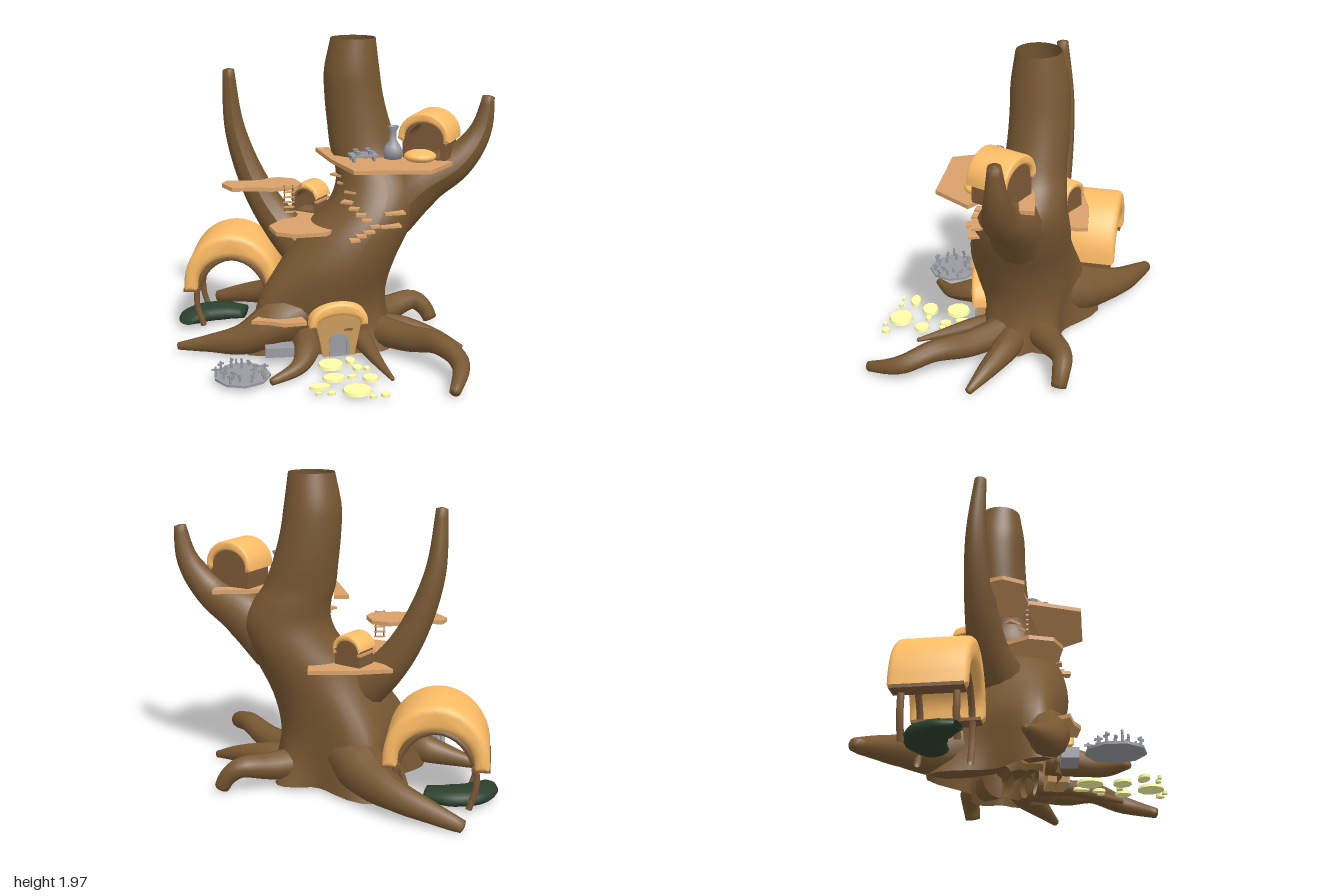
import * as THREE from 'three';
import { toCreasedNormals } from 'three/addons/utils/BufferGeometryUtils.js';

const V = (x, y, z) => new THREE.Vector3(x, y, z);
const mat = (color) => new THREE.MeshStandardMaterial({ color, side: THREE.DoubleSide });
const bark = mat(0x785832), thatch = mat(0xffbe66), plank = mat(0xd9a169), wood = mat(0x7d5a38),
  tan = mat(0xc99a5c), stone = mat(0x9a9ca2), slab = mat(0xffffa8), leaf = mat(0x2b402d);

function add(parent, name, geo, material, x = 0, y = 0, z = 0, ry = 0) {
  const m = new THREE.Mesh(geo, material);
  m.name = name;
  m.position.set(x, y, z);
  m.rotation.y = ry;
  parent.add(m);
  return m;
}

// Tapered limb through points [x, y, z, radius], closed at its tip
function limb(pts, sides = 12, seg = 24) {
  const curve = new THREE.CatmullRomCurve3(pts.map((p) => V(p[0], p[1], p[2])));
  const geo = new THREE.TubeGeometry(curve, seg, 1, sides);
  const pos = geo.attributes.position, v = V(0, 0, 0);
  for (let i = 0; i <= seg; i++) {
    const k = curve.getUtoTmapping(i / seg) * (pts.length - 1);
    const a = Math.min(Math.floor(k), pts.length - 2);
    const r = i === seg ? 0 : THREE.MathUtils.lerp(pts[a][3], pts[a + 1][3], k - a);
    const c = curve.getPointAt(i / seg);
    const to = i === seg ? curve.getPointAt(1 - 0.8 / seg) : c;
    for (let j = 0; j <= sides; j++) {
      const n = i * (sides + 1) + j;
      v.fromBufferAttribute(pos, n).sub(c).multiplyScalar(r).add(to);
      pos.setXYZ(n, v.x, Math.max(v.y, 0.02), v.z);
    }
  }
  geo.computeVertexNormals();
  return geo;
}

// Hollow trunk from horizontal ellipses [y, cx, cz, rx, rz], swelling towards
// each root by a flare [x, z, reach, height, angular width]
function trunkGeometry(rows, flares, sides = 48, seg = 44) {
  const mid = new THREE.CatmullRomCurve3(rows.map((r) => V(r[1], r[0], r[2])));
  const rad = new THREE.CatmullRomCurve3(rows.map((r) => V(r[3], 0, r[4])));
  const geo = new THREE.CylinderGeometry(1, 1, 1, sides, seg, true);
  const pos = geo.attributes.position;
  for (let i = 0; i < pos.count; i++) {
    const t = pos.getY(i) + 0.5, c = mid.getPoint(t), r = rad.getPoint(t);
    const ux = pos.getX(i), uz = pos.getZ(i);
    let out = 0;
    for (const [x, z, reach, height, width] of flares) {
      const off = Math.acos(THREE.MathUtils.clamp((ux * x + uz * z) / Math.hypot(x, z), -1, 1)) / width;
      out = Math.max(out, reach * Math.max(0, 1 - c.y / height) ** 1.5 * Math.exp(-off * off));
    }
    pos.setXYZ(i, c.x + ux * (r.x + out), c.y, c.z + uz * (r.z + out));
  }
  geo.computeVertexNormals();
  return geo;
}

const extrude = (shape, depth, bevel = 0) => toCreasedNormals(new THREE.ExtrudeGeometry(shape, {
  depth, curveSegments: 12, bevelEnabled: bevel > 0, bevelSize: bevel, bevelThickness: bevel, bevelSegments: 3,
}), 0.7);

// Flat deck from [x, z] corners with its top at height y
function deck(parent, name, y, corners) {
  const geo = extrude(new THREE.Shape(corners.map((c) => new THREE.Vector2(c[0], c[1]))), 0.025);
  add(parent, name, geo.rotateX(Math.PI / 2), plank, 0, y, 0);
}

// Doorway outline; foot narrows or widens the bottom
function arch(Type, hw, y0, wallY, top, foot = hw) {
  const s = new Type();
  s.moveTo(-foot, y0);
  s.lineTo(foot, y0);
  s.lineTo(hw, wallY);
  s.absellipse(0, wallY, hw, top - wallY, 0, Math.PI, false);
  s.lineTo(-foot, y0);
  return s;
}

// Puffy barrel roof, centred on z = 0
function roof(parent, hw, y0, top, side, crown, len, b = 0.015) {
  const s = new THREE.Shape();
  s.absellipse(0, y0 + b, hw - b, top - y0 - 2 * b, 0, Math.PI, false);
  s.absellipse(0, y0 + b, hw - side + b, top - y0 - crown, Math.PI, 0, true);
  s.closePath();
  add(parent, 'thatchedRoof', extrude(s, len - 2 * b, b), thatch, 0, 0, b - len / 2);
}

// Open hut with back wall, doorway frame and roof
function hut(parent, name, x, y, z, ry, hw, h, len) {
  const g = new THREE.Group();
  g.name = name;
  g.position.set(x, y, z);
  g.rotation.y = ry;
  parent.add(g);
  const w = hw * 0.84, wallY = h * 0.4, l = len * 0.84;
  const shell = arch(THREE.Shape, w, 0, wallY, h * 0.9);
  shell.holes.push(arch(THREE.Path, w * 0.74, 0.008, wallY, h * 0.76));
  add(g, 'hutWalls', extrude(shell, l), wood, 0, 0, -l / 2);
  add(g, 'backWall', extrude(arch(THREE.Shape, w, 0, wallY, h * 0.9), 0.012), wood, 0, 0, -l / 2);
  for (const s of [-1, 1])
    add(g, 'wallRail', new THREE.BoxGeometry(0.02, 0.015, len * 0.95), plank, s * w, wallY, 0);
  roof(g, hw, wallY, h, hw * 0.24, h * 0.2, len);
  return g;
}

export function createModel() {
  const g = new THREE.Group();
  g.name = 'treeHouse';

  // Trunk, branches and roots
  add(g, 'trunk', trunkGeometry([
    [0.04, -0.02, -0.04, 0.38, 0.25], [0.2, -0.02, -0.04, 0.38, 0.26], [0.4, -0.02, -0.03, 0.38, 0.3],
    [0.6, 0.05, -0.01, 0.36, 0.32], [0.8, 0.165, -0.01, 0.34, 0.31], [0.95, 0.27, -0.02, 0.29, 0.28],
    [1.08, 0.31, -0.04, 0.27, 0.24], [1.2, 0.28, -0.07, 0.24, 0.21],
    [1.3, 0.235, -0.09, 0.22, 0.19], [1.45, 0.2, -0.11, 0.2, 0.185], [1.62, 0.17, -0.12, 0.185, 0.18],
    [1.78, 0.155, -0.12, 0.175, 0.175], [1.99, 0.16, -0.11, 0.14, 0.135]],
  [[-0.4, 0.13, 0.23, 0.8, 0.4], [-0.1, -0.4, 0.3, 0.75, 0.4], [-0.3, 0.4, 0.08, 0.35, 0.3], [0.2, 0.4, 0.08, 0.35, 0.3],
    [0.4, 0.45, 0.14, 0.4, 0.35], [0.4, 0.12, 0.1, 0.35, 0.3], [0.4, -0.25, 0.12, 0.35, 0.35]]), bark);
  const limbs = {
    rightHandBranch: [[-0.17, 0.66, -0.13, 0.15], [-0.29, 0.79, -0.21, 0.12], [-0.43, 1.02, -0.27, 0.095],
      [-0.56, 1.4, -0.31, 0.065], [-0.6, 1.84, -0.29, 0.032]],
    leftHandBranch: [[0.37, 0.89, 0.01, 0.18], [0.56, 1.09, 0.05, 0.165], [0.78, 1.23, 0.12, 0.11],
      [0.92, 1.42, 0.14, 0.07], [0.97, 1.68, 0.15, 0.032]],
    backRoot: [[-0.05, 0.28, -0.2, 0.18], [-0.14, 0.2, -0.42, 0.16], [-0.29, 0.15, -0.68, 0.095],
      [-0.48, 0.1, -0.83, 0.065], [-0.68, 0.04, -0.95, 0.035]],
    sideRoot: [[-0.19, 0.3, 0.06, 0.16], [-0.36, 0.25, 0.11, 0.15], [-0.58, 0.14, 0.1, 0.1],
      [-0.8, 0.09, 0.01, 0.055], [-1.02, 0.05, -0.08, 0.018]],
    frontRoot: [[-0.2, 0.15, 0.14, 0.09], [-0.22, 0.13, 0.32, 0.08], [-0.3, 0.08, 0.46, 0.05], [-0.5, 0.04, 0.57, 0.02]],
    middleRoot: [[0.15, 0.12, 0.12, 0.08], [0.17, 0.1, 0.33, 0.05], [0.2, 0.07, 0.5, 0.03], [0.24, 0.04, 0.69, 0.01]],
    longRoot: [[0.26, 0.14, 0.1, 0.1], [0.43, 0.15, 0.33, 0.085], [0.56, 0.19, 0.54, 0.068],
      [0.63, 0.14, 0.74, 0.058], [0.51, 0.045, 0.98, 0.028]],
    shortRoot: [[0.23, 0.13, 0.02, 0.1], [0.45, 0.12, 0.1, 0.085], [0.64, 0.09, 0.22, 0.055], [0.8, 0.04, 0.34, 0.018]],
    bentRoot: [[0.22, 0.15, -0.1, 0.11], [0.44, 0.16, -0.19, 0.085], [0.62, 0.18, -0.25, 0.065], [0.7, 0.12, -0.24, 0.055], [0.75, 0.02, -0.22, 0.045]],
  };
  for (const name in limbs) add(g, name, limb(limbs[name]), bark);

  // Decks
  deck(g, 'upperDeck', 1.27, [[-0.05, -0.26], [0.04, -0.26], [0.02, -0.02], [0.12, 0.06], [0.34, 0.06], [0.43, -0.04],
    [0.56, -0.08], [0.77, -0.07], [0.74, 0.1], [0.6, 0.21], [0.69, 0.3], [0.5, 0.49], [0.28, 0.45], [0.05, 0.41], [-0.02, 0.08]]);
  deck(g, 'hangingDeck', 1.09, [[-0.67, -0.16], [-0.63, -0.23], [-0.5, -0.2], [-0.3, -0.25], [-0.2, -0.19], [-0.18, -0.06],
    [-0.22, 0.01], [-0.38, 0.02], [-0.46, -0.01], [-0.62, -0.03]]);
  deck(g, 'middleDeck', 0.85, [[-0.4, 0.02], [-0.38, 0.17], [-0.27, 0.24], [-0.08, 0.24], [0, 0.16], [-0.09, 0.05],
    [-0.08, -0.14], [0.03, -0.26], [0.2, -0.3], [0.21, -0.42], [-0.05, -0.45], [-0.3, -0.43], [-0.26, -0.33], [-0.2, -0.25], [-0.3, -0.1]]);
  deck(g, 'lowDeck', 0.31, [[-0.55, 0.23], [-0.48, 0.15], [-0.25, 0.12], [-0.22, 0.32], [-0.36, 0.32], [-0.43, 0.27]]);

  // Steps around the trunk: x, y, z, width, turn
  for (const [x, y, z, w, r] of [[0.34, 0.955, 0.25, 0.13, 0], [0.31, 0.88, 0.27, 0.13, 0], [0.08, 0.81, 0.29, 0.06, 0],
    [0.12, 0.835, 0.29, 0.06, 0], [0.17, 0.855, 0.28, 0.07, 0], [0.21, 0.885, 0.27, 0.06, 0], [0.17, 0.92, 0.25, 0.06, 0.2],
    [0.14, 0.95, 0.23, 0.06, 0.3], [0.11, 0.98, 0.19, 0.06, 0.5], [0.08, 1.01, 0.14, 0.07, 0.6], [0.12, 1.06, 0.09, 0.08, 0.7],
    [0.1, 1.1, 0.02, 0.1, 0.8], [0.07, 1.14, -0.04, 0.1, 0.9]])
    add(g, 'step', new THREE.BoxGeometry(w, 0.014, 0.09), plank, x, y, z, -r);

  // Rope ladder
  for (const s of [-1, 1])
    add(g, 'ladderRope', new THREE.CylinderGeometry(0.004, 0.004, 0.17, 6), wood, -0.275 + s * 0.026, 1.015, 0.02);
  for (let i = 0; i < 6; i++)
    add(g, 'ladderRung', new THREE.BoxGeometry(0.07, 0.009, 0.014), plank, -0.275, 0.93 + i * 0.032, 0.02);

  // Huts on the decks
  const upper = hut(g, 'upperHut', 0.6, 1.27, 0.11, -0.61, 0.165, 0.288, 0.26);
  const porch = add(upper, 'porchCushion', new THREE.SphereGeometry(1, 16, 10), thatch, -0.01, 0.027, 0.15);
  porch.scale.set(0.1, 0.04, 0.1);
  hut(g, 'middleHut', -0.08, 0.85, -0.29, -0.7, 0.105, 0.195, 0.175);

  // Ground-level entrance
  const home = new THREE.Group();
  home.name = 'entrance';
  home.position.set(-0.01, 0.05, 0.17);
  g.add(home);
  add(home, 'entranceWall', extrude(arch(THREE.Shape, 0.14, 0, 0.2, 0.31, 0.1), 0.12), tan, 0, 0, -0.01);
  roof(home, 0.185, 0.2, 0.36, 0.05, 0.085, 0.28, 0.024);
  const door = arch(THREE.Shape, 0.065, 0, 0.085, 0.15);
  door.holes.push(arch(THREE.Path, 0.045, 0.012, 0.085, 0.13));
  add(home, 'doorFrame', extrude(door, 0.02), stone, 0, 0.005, 0.105);
  add(home, 'door', extrude(arch(THREE.Shape, 0.045, 0, 0.085, 0.13), 0.006), stone, 0, 0.005, 0.11);
  add(home, 'doorSign', new THREE.BoxGeometry(0.05, 0.01, 0.02), wood, 0.06, 0.175, 0.115);

  // Thatched shelter on curved legs
  const shelter = new THREE.Group();
  shelter.name = 'shelter';
  shelter.position.set(-0.565, 0, -0.5);
  shelter.rotation.y = -0.23;
  g.add(shelter);
  roof(shelter, 0.315, 0.31, 0.705, 0.09, 0.16, 0.44, 0.04);
  for (const z of [-0.15, 0.15]) {
    const rib = new THREE.CatmullRomCurve3([[-0.2, 0.05], [-0.24, 0.2], [-0.225, 0.34], [-0.13, 0.48], [0, 0.53],
      [0.13, 0.48], [0.225, 0.34], [0.24, 0.2], [0.2, 0.05]].map((p) => V(p[0], p[1], z)));
    add(shelter, 'curvedFrame', new THREE.TubeGeometry(rib, 28, 0.02, 7), wood);
  }
  for (const s of [-1, 1])
    add(shelter, 'eaveBeam', new THREE.BoxGeometry(0.11, 0.02, 0.4), wood, s * 0.265, 0.315, 0);

  // Bean-shaped bed of greenery
  const bed = add(g, 'greenBed', limb([[-0.91, 0.13, -0.4, 0.05], [-0.86, 0.13, -0.48, 0.1], [-0.77, 0.13, -0.55, 0.12],
    [-0.64, 0.13, -0.56, 0.12], [-0.48, 0.13, -0.5, 0.08]], 12), leaf);
  bed.scale.y = 0.45;
  bed.position.y = 0.025;

  // Vase and workbenches on the upper deck
  const vase = [[0, 0], [0.055, 0], [0.06, 0.05], [0.045, 0.08], [0.022, 0.115], [0.02, 0.165], [0.036, 0.2], [0.026, 0.2], [0, 0.17]];
  add(g, 'vase', new THREE.LatheGeometry(vase.map((p) => new THREE.Vector2(p[0], p[1])), 16), stone, 0.36, 1.27, 0.13);
  for (const z of [0.12, 0.185]) {
    add(g, 'bench', new THREE.BoxGeometry(0.17, 0.014, 0.045), stone, 0.165, 1.305, z, 0.1);
    for (const s of [-1, 1]) {
      add(g, 'benchLeg', new THREE.BoxGeometry(0.015, 0.03, 0.04), stone, 0.165 + s * 0.065, 1.285, z - s * 0.007);
      add(g, 'benchPot', new THREE.CylinderGeometry(0.018, 0.013, 0.025, 10), stone, 0.165 + s * 0.04, 1.323, z - s * 0.004);
    }
  }

  // Paved yard with a ring of stakes
  add(g, 'yard', new THREE.CylinderGeometry(0.17, 0.17, 0.015, 9), stone, -0.64, 0.06, 0.46);
  for (let i = 0; i < 18; i++) {
    const a = i * 2.4, r = 0.16 * Math.sqrt((i + 4) / 21);
    const x = -0.64 + r * Math.cos(a), z = 0.46 + r * Math.sin(a), h = 0.035 + 0.03 * ((i * 7) % 5) / 4;
    add(g, 'stake', new THREE.CylinderGeometry(0.007, 0.009, h, 6), stone, x, 0.065 + h / 2, z);
    add(g, 'stakeBar', new THREE.BoxGeometry(0.045, 0.012, 0.008), stone, x, 0.06 + h * 0.8, z, a);
  }
  add(g, 'stoneTrough', new THREE.BoxGeometry(0.2, 0.06, 0.1), stone, -0.37, 0.11, 0.25, -0.1);

  // Stepping stones: x, z, half-width, half-depth
  for (const [x, z, a, b] of [[-0.09, 0.41, 0.08, 0.08], [0.04, 0.38, 0.03, 0.05], [0.06, 0.49, 0.03, 0.04], [0.115, 0.51, 0.02, 0.022],
    [-0.11, 0.6, 0.07, 0.055], [0, 0.605, 0.028, 0.02], [0.105, 0.645, 0.05, 0.05], [-0.215, 0.705, 0.065, 0.035],
    [-0.01, 0.79, 0.09, 0.08], [-0.24, 0.79, 0.018, 0.013], [-0.165, 0.8, 0.025, 0.016], [0.06, 0.89, 0.02, 0.017], [0.135, 0.88, 0.027, 0.027]])
    add(g, 'steppingStone', new THREE.CylinderGeometry(0.93, 1, 0.018, 10), slab, x, 0.055, z).scale.set(a, 1, b);

  return g;
}
